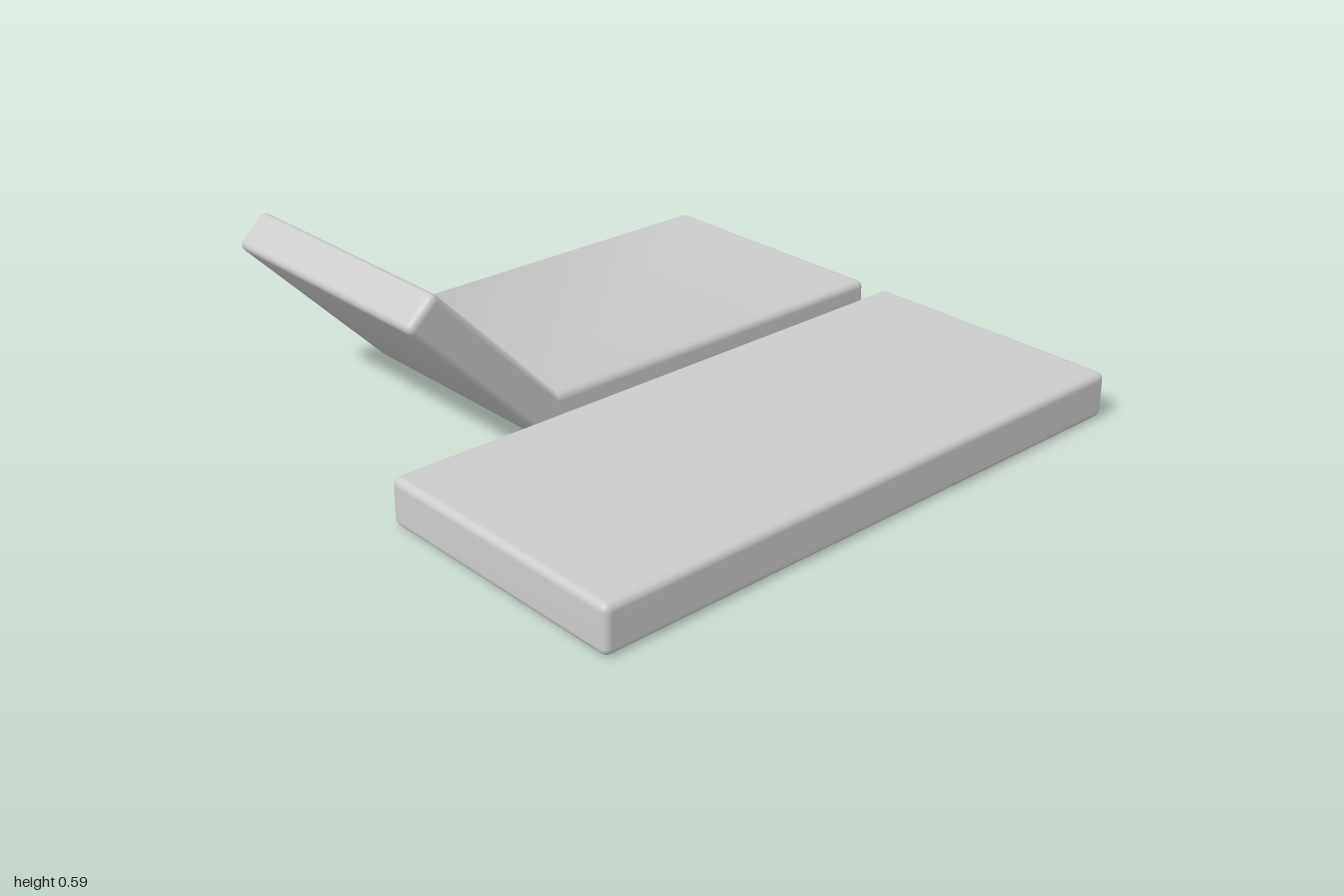
import * as THREE from 'three';
import { mergeVertices } from 'three/addons/utils/BufferGeometryUtils.js';

const LENGTH = 2, THICK = 0.15, WIDTH = 0.895, R = 0.024, K = 3;
const HINGE = -0.35;    // where the backrest folds up
const ANGLE = 0.8;
const GAP_CENTRE = 0.4925;

// Grid positions along one axis: dense at the rounded ends, plus optional inner stops
function stops(size, inner = []) {
  const ends = Array.from({ length: K + 1 }, (_, i) => size / 2 - (R * i) / K);
  return [...ends.map((v) => -v), ...inner, ...ends.reverse()];
}

// Fold everything left of the hinge upwards, keeping a slanted crease
function fold(p) {
  const s = HINGE - p.x;
  if (s < -1e-6) return;
  if (s < 1e-6) {
    p.x += p.y * 0.27;
    return;
  }
  const c = Math.cos(ANGLE), n = Math.sin(ANGLE);
  const along = s * 1.015, across = p.y * 0.89;
  p.x = HINGE - along * c + across * n;
  p.y = along * n + across * c;
}

// Slab with rounded edges, smooth normals
function slabGeometry(folded) {
  const axes = [stops(LENGTH, [HINGE]), stops(THICK), stops(WIDTH)];
  const half = [LENGTH / 2 - R, THICK / 2 - R, WIDTH / 2 - R];
  const seg = axes.map((a) => a.length - 1);
  const geo = new THREE.BoxGeometry(...seg, ...seg);
  const pos = geo.attributes.position;
  const core = new THREE.Vector3();
  const limit = new THREE.Vector3(...half);
  const lower = limit.clone().negate();
  const p = new THREE.Vector3();
  for (let i = 0; i < pos.count; i++) {
    p.fromBufferAttribute(pos, i);
    p.fromArray(p.toArray().map((v, a) => axes[a][Math.round(v + seg[a] / 2)]));
    core.copy(p).clamp(lower, limit);
    p.sub(core).setLength(R).add(core);
    if (folded) fold(p);
    pos.setXYZ(i, p.x, p.y, p.z);
  }
  geo.deleteAttribute('uv');
  geo.deleteAttribute('normal');
  const merged = mergeVertices(geo, 1e-5);
  merged.computeVertexNormals();
  return merged;
}

export function createModel() {
  const group = new THREE.Group();
  const material = new THREE.MeshStandardMaterial({ color: 0xcccccc });

  // Flat mattress in front, one with a raised backrest behind
  const parts = [
    ['flatMattress', false, GAP_CENTRE],
    ['recliningMattress', true, -GAP_CENTRE],
  ];
  for (const [name, folded, z] of parts) {
    const mesh = new THREE.Mesh(slabGeometry(folded), material);
    mesh.name = name;
    mesh.position.set(0, THICK / 2, z);
    group.add(mesh);
  }
  return group;
}
